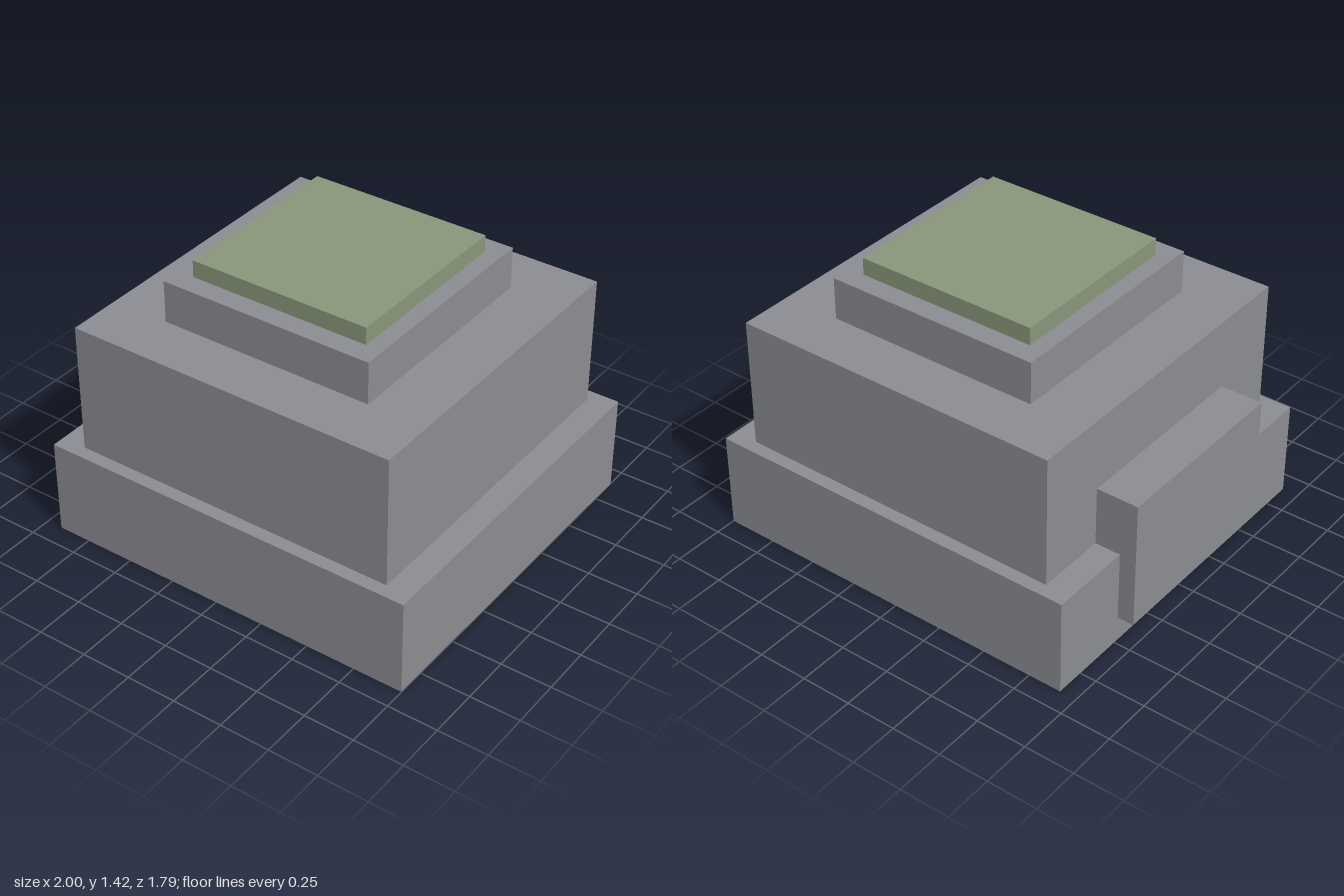
import * as THREE from 'three';

export function createModel() {
  const model = new THREE.Group();
  model.name = 'steppedBuilding';

  const grey = new THREE.MeshStandardMaterial({ color: 0x8c8d92 });
  grey.name = 'concrete grey';
  const green = new THREE.MeshStandardMaterial({ color: 0x8a977b });
  green.name = 'roof green';

  // Box given by its limits along each axis
  const addBlock = (name, material, [x0, x1], [y0, y1], [z0, z1]) => {
    const mesh = new THREE.Mesh(new THREE.BoxGeometry(x1 - x0, y1 - y0, z1 - z0), material);
    mesh.position.set((x0 + x1) / 2, (y0 + y1) / 2, (z0 + z1) / 2);
    mesh.name = name;
    model.add(mesh);
  };

  // Stacked tiers: half width, half depth, bottom, top, all on one axis
  const axisX = 0.041;
  const tiers = [
    ['baseTier', grey, 0.958, 0.895, 0, 0.48],
    ['mainTier', grey, 0.83, 0.83, 0.48, 1.127],
    ['upperTier', grey, 0.54, 0.56, 1.127, 1.335],
    ['roofSlab', green, 0.457, 0.458, 1.335, 1.42],
  ];
  for (const [name, material, hw, hd, y0, y1] of tiers) {
    addBlock(name, material, [axisX - hw, axisX + hw], [y0, y1], [-hd, hd]);
  }

  // Slab projecting from the side, set against the main tier
  addBlock('sideSlab', grey, [-1, -0.78], [0.13, 0.773], [-0.479, 0.479]);

  return model;
}
